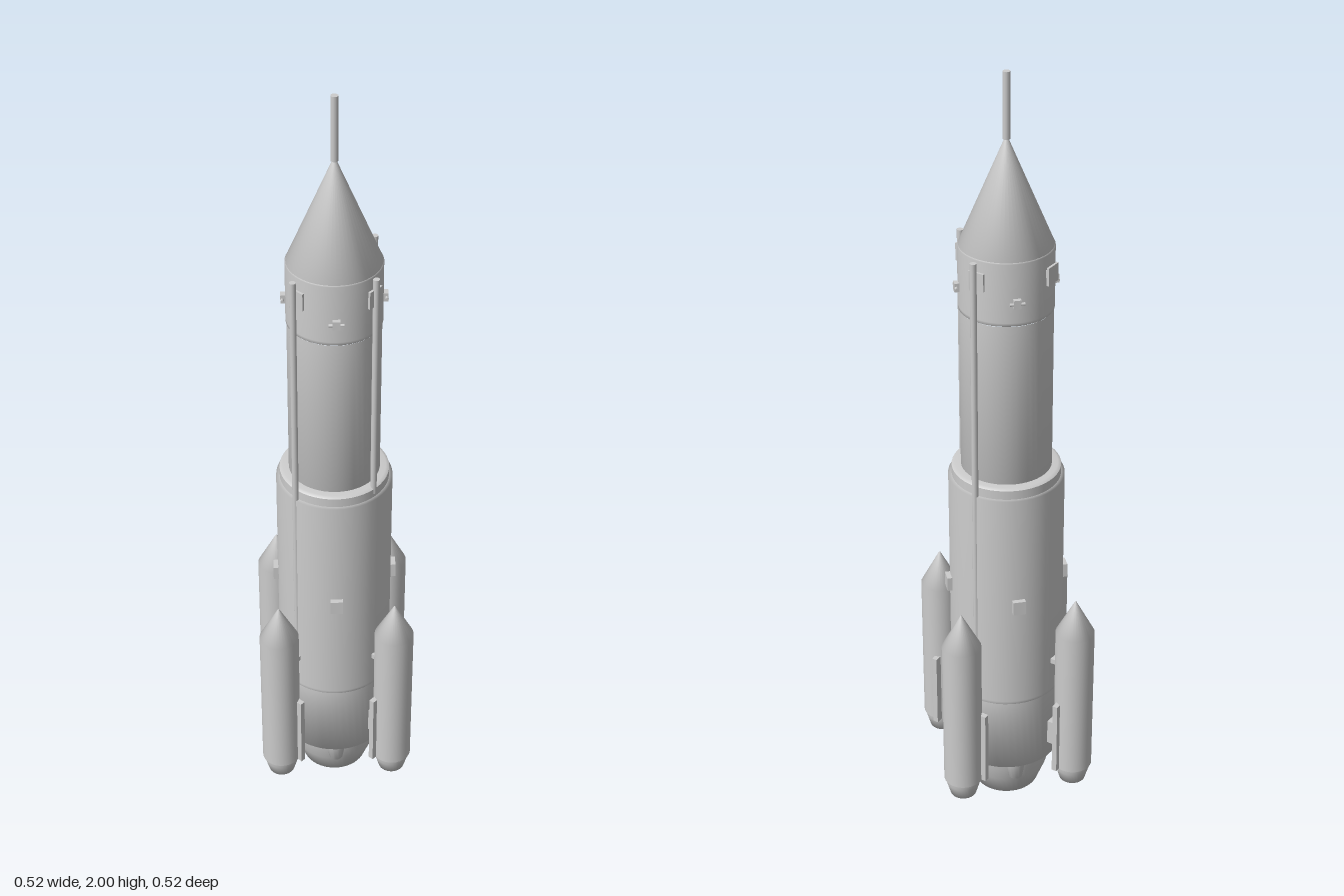
import * as THREE from 'three';

const hull = new THREE.MeshStandardMaterial({ color: 0xcccccc });
hull.name = 'hull grey';

// Turned part: [radius, y] pairs from bottom to top, with smooth normals
function turned(name, profile, segments = 48) {
  const points = profile.map(([r, y]) => new THREE.Vector2(r, y));
  const mesh = new THREE.Mesh(new THREE.LatheGeometry(points, segments), hull);
  mesh.name = name;
  return mesh;
}

function box(name, w, h, d, x, y, z) {
  const mesh = new THREE.Mesh(new THREE.BoxGeometry(w, h, d), hull);
  mesh.name = name;
  mesh.position.set(x, y, z);
  return mesh;
}

function rod(name, r, y0, y1, x, z) {
  const mesh = new THREE.Mesh(new THREE.CylinderGeometry(r, r, y1 - y0, 12), hull);
  mesh.name = name;
  mesh.position.set(x, (y0 + y1) / 2, z);
  return mesh;
}

// Strap-on booster on the +z side, with its fin plate and struts
function booster() {
  const g = new THREE.Group();
  g.name = 'booster';
  const column = new THREE.Group();
  column.name = 'boosterColumn';
  column.position.z = 0.208;
  column.add(
    turned('boosterNozzle', [[0, 0.08], [0.034, 0.08], [0.044, 0.115], [0.045, 0.13]], 32),
    turned('boosterBody', [[0.045, 0.13], [0.05, 0.13], [0.05, 0.13], [0.05, 0.55]], 32),
    turned('boosterCone', [[0, 0.55], [0.05, 0.55], [0.001, 0.645]], 32),
  );
  g.add(
    column,
    box('boosterFin', 0.124, 0.21, 0.014, 0, 0.235, 0.189),
    box('lowerStrut', 0.038, 0.07, 0.04, 0, 0.21, 0.152),
    box('upperStrut', 0.026, 0.014, 0.04, 0, 0.44, 0.152),
  );
  return g;
}

// Small fittings on one diagonal, built on the +z side
function diagonalFittings() {
  const g = new THREE.Group();
  g.name = 'diagonalFittings';
  g.add(
    box('bodyBox', 0.032, 0.038, 0.02, 0, 0.65, 0.147),
    box('thrusterBlock', 0.018, 0.022, 0.014, 0, 1.482, 0.119),
  );
  const cross = new THREE.Mesh(new THREE.CylinderGeometry(0.004, 0.004, 0.036, 8), hull);
  cross.name = 'thrusterJets';
  cross.rotation.z = Math.PI / 2;
  cross.position.set(0, 1.482, 0.122);
  const vernier = turned('vernierNozzle', [[0, 0.08], [0.018, 0.08], [0.027, 0.132]], 16);
  vernier.position.z = 0.114;
  g.add(cross, vernier);
  return g;
}

export function createModel() {
  const model = new THREE.Group();
  model.name = 'rocket';

  // Core stack, bottom to top
  model.add(
    turned('mainEngine', [[0, 0], [0.085, 0], [0.108, 0.06], [0.118, 0.1], [0.122, 0.132]]),
    turned('engineSkirt', [[0, 0.13], [0.142, 0.13], [0.142, 0.34]]),
    turned('lowerStage', [[0.142, 0.34], [0.145, 0.342], [0.145, 0.35], [0.145, 0.96], [0.13, 0.962]]),
    turned('shoulderRing', [[0.136, 0.955], [0.136, 0.985], [0.136, 0.985], [0.128, 0.99], [0.1, 0.99]]),
    turned('upperStage', [[0, 0.98], [0.113, 0.98], [0.113, 1.42]]),
    turned('instrumentBand', [[0.11, 1.42], [0.115, 1.422], [0.115, 1.43], [0.115, 1.58], [0.11, 1.583]]),
    turned('noseCone', [[0, 1.583], [0.113, 1.583], [0.003, 1.845]]),
    rod('noseProbe', 0.009, 1.84, 2, 0, 0),
  );

  // Long pipes on the front and both flanks
  model.add(rod('frontPipe', 0.008, 0.97, 1.585, 0, 0.13));
  for (const s of [-1, 1]) model.add(rod('sidePipe', 0.008, 0.44, 1.585, s * 0.14, 0));

  // Boosters, sensor plates and fittings around the core
  for (let i = 0; i < 4; i++) {
    const b = booster();
    b.rotation.y = i * Math.PI / 2;

    const sensor = new THREE.Group();
    sensor.name = 'sensor';
    sensor.add(
      box('sensorPlate', 0.042, 0.045, 0.006, 0, 1.535, 0.127),
      box('sensorMount', 0.016, 0.02, 0.018, 0, 1.535, 0.118),
    );
    sensor.rotation.y = b.rotation.y;

    const d = diagonalFittings();
    d.rotation.y = b.rotation.y + Math.PI / 4;
    model.add(b, sensor, d);
  }
  return model;
}
